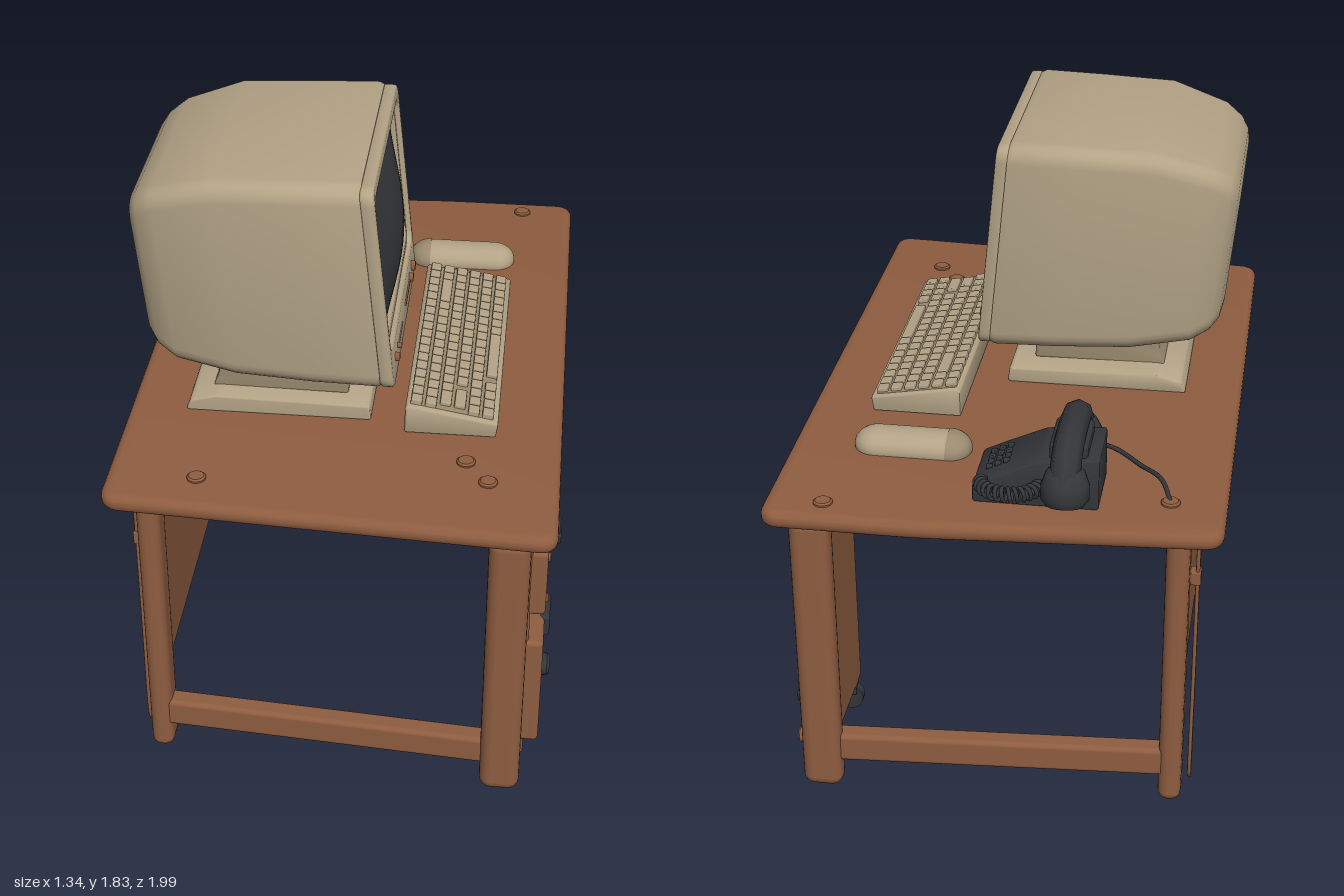
import * as THREE from 'three';
import { toCreasedNormals } from 'three/addons/utils/BufferGeometryUtils.js';
import { RoundedBoxGeometry } from 'three/addons/geometries/RoundedBoxGeometry.js';

const mat = (name, color) => {
  const m = new THREE.MeshStandardMaterial({ color });
  m.name = name;
  return m;
};

export function createModel() {
  const model = new THREE.Group();
  model.name = 'computerDesk';
  const wood = mat('brown', 0x8f5d40);
  const beige = mat('beige', 0xb3a386);
  const tan = mat('dark beige', 0x9a8a6f);
  const dark = mat('charcoal', 0x34363a);
  const glass = mat('screen grey', 0x37383c);

  const add = (name, geo, m, x = 0, y = 0, z = 0) => {
    const mesh = new THREE.Mesh(geo, m);
    mesh.name = name;
    mesh.position.set(x, y, z);
    model.add(mesh);
    return mesh;
  };
  // rounded block given by its limits on each axis
  const block = (name, m, [x0, x1], [y0, y1], [z0, z1], r = 0.01) =>
    add(name, new RoundedBoxGeometry(x1 - x0, y1 - y0, z1 - z0, 3, r), m, (x0 + x1) / 2, (y0 + y1) / 2, (z0 + z1) / 2);
  // polygon with rounded corners
  const roundPoly = (pts, r, Type = THREE.Shape) => {
    const s = new Type();
    const v = pts.map(p => new THREE.Vector2(...p));
    v.forEach((p, i) => {
      const toward = q => p.clone().add(q.clone().sub(p).setLength(r));
      const a = toward(v[(i + v.length - 1) % v.length]), b = toward(v[(i + 1) % v.length]);
      if (i) s.lineTo(a.x, a.y); else s.moveTo(a.x, a.y);
      s.quadraticCurveTo(p.x, p.y, b.x, b.y);
    });
    s.closePath();
    return s;
  };
  const extrude = (shape, depth, bevel) => toCreasedNormals(new THREE.ExtrudeGeometry(shape, {
    depth: depth - 2 * bevel, bevelEnabled: bevel > 0, bevelSize: bevel, bevelThickness: bevel,
    bevelOffset: -bevel, bevelSegments: 4, curveSegments: 8,
  }).translate(0, 0, bevel), 0.6);
  // side profile in x and y, swept from z0 to z1
  const profile = (name, m, pts, z0, z1, r, bevel) => add(name, extrude(roundPoly(pts, r), z1 - z0, bevel), m, 0, 0, z0);
  // round button facing +x
  const knob = (name, m, x, y, z, r, len) => {
    const g = new THREE.LatheGeometry([[0, 0], [r, 0], [r, len * 0.7], [r * 0.8, len], [0, len]].map(p => new THREE.Vector2(...p)), 20);
    return add(name, toCreasedNormals(g.rotateZ(-Math.PI / 2), 0.6), m, x, y, z);
  };
  const tube = (name, m, pts, r, n) =>
    add(name, new THREE.TubeGeometry(new THREE.CatmullRomCurve3(pts.map(p => new THREE.Vector3(...p))), n, r, 8), m);

  // desk top, tapering towards the back
  const top = [[-0.668, 0.94], [-0.668, -0.92], [0.655, -0.995], [0.655, 1], [0.2, 1]];
  add('deskTop', extrude(roundPoly(top, 0.06), 0.056, 0.024).rotateX(-Math.PI / 2), wood, 0, 0.95, 0);
  for (const [x, z] of [[0.48, -0.92], [-0.505, -0.78], [0.375, 0.64], [0.445, 0.735], [-0.4, 0.8]])
    knob('deskBolt', wood, x, 1, z, 0.028, 0.016).rotation.z = Math.PI / 2;

  // legs, end rails and loose cables
  for (const s of [1, -1]) {
    const span = (a, b) => (s > 0 ? [a, b] : [-b, -a]);
    block('frontLeg', wood, [0.46, 0.582], [0.01, 0.965], span(0.885, 0.968), 0.035);
    block('backLeg', wood, [-0.572, -0.502], [0.01, 0.965], span(0.775, 0.885), 0.03);
    const rail = block('endRail', wood, [-0.53, 0.49], [0.1, 0.195], span(0.845, 0.91), 0.015);
    rail.rotation.y = -s * 0.07;
    tube('cable', wood, [[-0.592, 0.96, s * 0.765], [-0.592, 0.5, s * 0.768], [-0.592, 0.06, s * 0.768], [-0.592, 0.035, s * 0.778],
      [-0.592, 0.06, s * 0.79], [-0.592, 0.5, s * 0.79], [-0.592, 0.96, s * 0.79]], 0.006, 60);
    block('cableClip', wood, [-0.602, -0.57], [0.745, 0.79], span(0.76, 0.8), 0.005);
  }
  block('backPanel', wood, [-0.553, -0.523], [0.27, 0.96], [-0.8, 0.8], 0.005);

  // drawer pedestal
  block('drawerPedestal', wood, [0.465, 0.588], [0.1, 0.96], [0.51, 0.895], 0.015);
  block('upperDrawer', wood, [0.57, 0.632], [0.65, 0.88], [0.51, 0.89], 0.015);
  block('lowerDrawer', wood, [0.57, 0.632], [0.165, 0.555], [0.525, 0.9], 0.015);
  for (const y of [0.69, 0.84]) for (const z of [0.55, 0.85]) knob('drawerScrew', wood, 0.63, y, z, 0.013, 0.01);
  knob('drawerKnob', dark, 0.63, 0.81, 0.66, 0.028, 0.034);
  knob('drawerKnob', dark, 0.63, 0.74, 0.61, 0.03, 0.038);
  knob('drawerKnob', dark, 0.63, 0.23, 0.615, 0.035, 0.028);
  block('drawerPull', dark, [0.61, 0.648], [0.485, 0.555], [0.665, 0.78], 0.008);

  // side cabinet panel
  block('sidePanel', wood, [0.5, 0.588], [0.1, 0.96], [-0.9, -0.492], 0.015);
  block('panelPlate', wood, [0.58, 0.596], [0.805, 0.878], [-0.815, -0.68], 0.004);
  block('panelSlot', wood, [0.58, 0.594], [0.908, 0.92], [-0.86, -0.57], 0.004);
  knob('panelKnob', wood, 0.585, 0.39, -0.58, 0.027, 0.02);
  knob('panelKnob', dark, 0.585, 0.27, -0.845, 0.028, 0.025);
  knob('panelKnob', wood, 0.578, 0.165, -0.908, 0.026, 0.02);

  // casters
  for (const z of [0.565, -0.555]) {
    const wheel = new THREE.CylinderGeometry(0.045, 0.045, 0.03, 20).rotateX(Math.PI / 2);
    add('casterWheel', toCreasedNormals(wheel, 0.6), dark, 0.525, 0.062, z);
    block('casterFork', dark, [0.5, 0.555], [0.075, 0.115], [z - 0.025, z + 0.025], 0.006);
  }

  // monitor shell: rounded rectangles [x, bottom, top, half width] joined front to back
  const cz = 0.17;
  const tilt = new THREE.Matrix4().set(1, -0.1, 0, 0.15, 0, 1, 0, 0, 0, 0, 1, 0, 0, 0, 0, 1);
  const rings = [[-0.618, 1.31, 1.68, 0.25], [-0.61, 1.265, 1.71, 0.285], [-0.585, 1.235, 1.74, 0.315], [-0.53, 1.208, 1.775, 0.342],
    [-0.35, 1.186, 1.828, 0.375], [-0.12, 1.176, 1.836, 0.382], [0.07, 1.172, 1.842, 0.382], [0.085, 1.178, 1.836, 0.377]];
  const pos = [], idx = [], N = 24;
  for (const [x, y0, y1, hw] of rings) {
    const r = 0.055, hh = (y1 - y0) / 2;
    for (let c = 0; c < 4; c++) for (let k = 0; k < 6; k++) {
      const a = (c + k / 5) * Math.PI / 2, sx = c === 0 || c === 3 ? 1 : -1, sy = c < 2 ? 1 : -1;
      pos.push(x, y0 + hh + sy * (hh - r) + r * Math.sin(a), cz - sx * (hw - r) - r * Math.cos(a));
    }
  }
  const last = (rings.length - 1) * N;
  for (let j = 0; j < N; j++) {
    const k = (j + 1) % N;
    for (let i = 0; i < last; i += N) idx.push(i + j, i + k, i + N + j, i + k, i + N + k, i + N + j);
    if (j && j < N - 1) idx.push(0, k, j, last, last + j, last + k);
  }
  const shell = new THREE.BufferGeometry();
  shell.setAttribute('position', new THREE.Float32BufferAttribute(pos, 3));
  shell.setIndex(idx);
  add('monitorShell', toCreasedNormals(shell.applyMatrix4(tilt), 0.6), beige);

  // bezel frames facing +x
  const rect = (z0, z1, y0, y1) => [[-z1, y0], [-z0, y0], [-z0, y1], [-z1, y1]];
  const frame = (name, outer, inner, x, depth, bevel) => {
    const s = roundPoly(rect(...outer), 0.05);
    s.holes.push(roundPoly(rect(...inner), 0.05, THREE.Path));
    add(name, extrude(s, depth, bevel).rotateY(Math.PI / 2).translate(x, 0, 0).applyMatrix4(tilt), beige);
  };
  frame('monitorBezel', [-0.203, 0.552, 1.178, 1.834], [-0.17, 0.522, 1.292, 1.792], 0.08, 0.042, 0.01);
  frame('screenFrame', [-0.175, 0.527, 1.287, 1.797], [-0.147, 0.5, 1.318, 1.768], 0.08, 0.027, 0.008);

  // bulging glass
  const screen = new THREE.PlaneGeometry(0.66, 0.47, 20, 16);
  const p = screen.attributes.position;
  for (let i = 0; i < p.count; i++)
    p.setZ(i, 0.054 * (1 - (p.getX(i) / 0.33) ** 2) * (1 - (p.getY(i) / 0.235) ** 2));
  screen.computeVertexNormals();
  add('screen', screen.rotateY(Math.PI / 2).translate(0.09, 1.543, 0.177).applyMatrix4(tilt), glass);

  // monitor controls
  for (const [z, r] of [[0.45, 0.014], [0.385, 0.009], [-0.02, 0.015], [-0.095, 0.017]])
    knob('monitorKnob', wood, 0.143, 1.24, z, r, 0.018);
  block('controlStrip', wood, [0.14, 0.153], [1.229, 1.24], [-0.02, 0.14], 0.003);
  block('ventSlit', tan, [0.14, 0.152], [1.228, 1.234], [0.24, 0.37], 0.002);

  // monitor stand
  profile('standNeck', tan, [[-0.42, 1.05], [0, 1.05], [-0.01, 1.2], [-0.39, 1.2], [-0.4, 1.1]], -0.012, 0.385, 0.015, 0.01);
  profile('standBase', beige, [[-0.495, 1.003], [0.075, 1.003], [0.07, 1.055], [-0.4, 1.062], [-0.48, 1.042]], -0.1, 0.45, 0.012, 0.008);

  // keyboard and keys
  profile('keyboardCase', beige, [[0.18, 1.008], [0.455, 1.008], [0.462, 1.055], [0.2, 1.1], [0.182, 1.095]], -0.36, 0.508, 0.008, 0.006);
  const slope = -0.168;
  const onSlope = (name, m, x, z, w, h, d) => {
    add(name, new RoundedBoxGeometry(w, h, d, 1, 0.004), m, x, 1.1 - (x - 0.2) * 0.17, z).rotation.z = slope;
  };
  onSlope('keyTray', tan, 0.322, 0.072, 0.25, 0.009, 0.83);
  const wide = [[0, -1, -1], [1, -0.25, -0.12], [2, 0.4, 0.47], [3, 0.38, 0.47], [5, 0.03, 0.27]];
  for (let row = 0; row < 6; row++) {
    const x = 0.213 + row * 0.043, long = wide.find(w => w[0] === row);
    if (long && long[1] > -1) onSlope('wideKey', beige, x, (long[1] + long[2]) / 2, 0.034, 0.032, long[2] - long[1]);
    for (let z = -0.322; z < 0.485; z += 0.0465) {
      if (long && z > long[1] - 0.022 && z < long[2] + 0.022) continue;
      onSlope('key', beige, x, z, 0.034, 0.032, 0.038);
    }
  }

  // mouse with darker rear cap
  const mouse = new THREE.CapsuleGeometry(0.069, 0.217, 10, 24).rotateZ(Math.PI / 2).scale(1, 0.75, 1);
  add('mouse', mouse, beige, 0.288, 1.014, -0.565);
  const cap = new THREE.SphereGeometry(0.072, 24, 12, 0, Math.PI * 2, 0, Math.PI / 2).rotateZ(Math.PI / 2).scale(1, 0.75, 1);
  const capMesh = add('mouseRear', cap, tan, 0.18, 1.014, -0.565);
  capMesh.scale.set(1, 1, 1);

  // telephone
  profile('phoneBody', dark, [[-0.305, 1.003], [0.06, 1.003], [0.06, 1.06], [0, 1.09], [-0.13, 1.15], [-0.305, 1.165]], -0.85, -0.638, 0.012, 0.008);
  block('phoneCradle', dark, [-0.27, -0.16], [1.14, 1.2], [-0.83, -0.66], 0.012);
  for (let i = 0; i < 3; i++) for (let j = 0; j < 4; j++) {
    const x = -0.03 + i * 0.025;
    block('phoneButton', dark, [x - 0.009, x + 0.009], [1.06, 1.112 - i * 0.012], [-0.785 + j * 0.03, -0.767 + j * 0.03], 0.003);
  }
  const hx = -0.215;
  const grip = tube('handsetGrip', dark, [[0, 0.11, -0.92], [0, 0.165, -0.885], [0, 0.198, -0.82], [0, 0.205, -0.735], [0, 0.198, -0.65], [0, 0.165, -0.585], [0, 0.11, -0.55]], 0.044, 40);
  grip.position.set(hx, 1, 0);
  for (const s of [-1, 1]) {
    const cup = new THREE.LatheGeometry([[0, -0.05], [0.055, -0.05], [0.07, -0.03], [0.07, 0.01], [0.055, 0.05], [0.03, 0.07], [0, 0.075]].map(q => new THREE.Vector2(...q)), 24);
    add('handsetCup', toCreasedNormals(cup, 0.8), dark, hx, 1.1, -0.737 + s * 0.158).rotation.x = -s * 0.25;
  }
  // coiled cord behind the phone and the straight cord to the desk hole
  const coil = [];
  for (let i = 0; i <= 140; i++) {
    const t = i / 140, a = Math.PI * (1 - t), w = t * 15 * Math.PI * 2, r = 0.085 + 0.018 * Math.cos(w);
    coil.push([-0.05 + r * Math.cos(a), 1.07 + 0.02 * Math.sin(w), -0.835 - r * 0.85 * Math.sin(a)]);
  }
  tube('coiledCord', dark, coil, 0.006, 420);
  tube('phoneCord', dark, [[-0.22, 1.07, -0.54], [-0.28, 1.04, -0.525], [-0.32, 1.015, -0.505], [-0.4, 1.015, -0.59], [-0.47, 1.03, -0.69], [-0.505, 1.01, -0.78]], 0.007, 40);

  return model;
}
